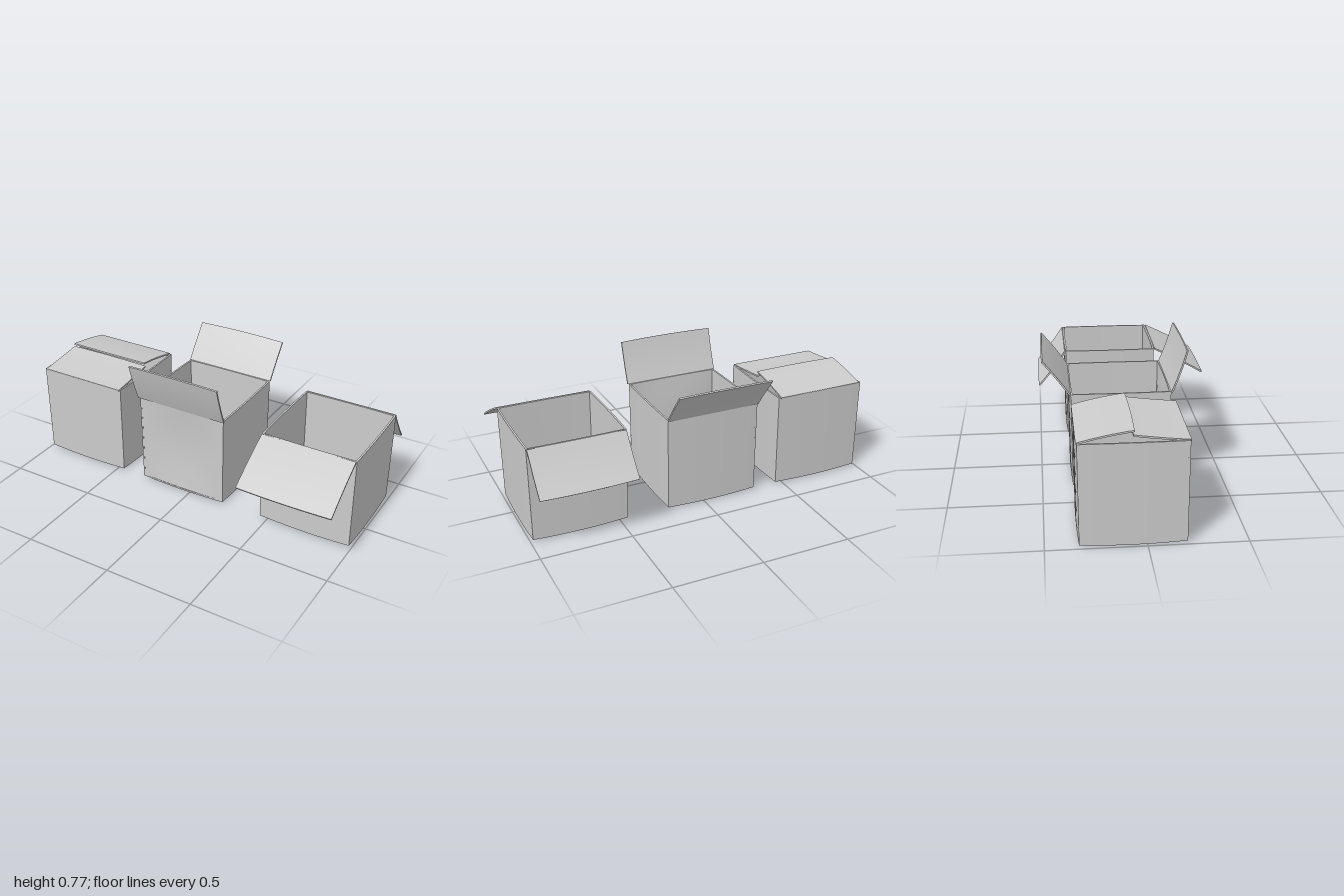
import * as THREE from 'three';

const H = 0.54, HALF = 0.268, T = 0.01, ZC = -0.068;
const material = new THREE.MeshStandardMaterial({ color: 0xcccccc, side: THREE.DoubleSide });

// Move every vertex of a geometry by a rule
function warp(geometry, rule) {
  const p = geometry.attributes.position, v = new THREE.Vector3();
  for (let i = 0; i < p.count; i++) {
    rule(v.fromBufferAttribute(p, i));
    p.setXYZ(i, v.x, v.y, v.z);
  }
  geometry.computeVertexNormals();
  return geometry;
}

// Soft cardboard: sagging base, slightly swollen sides, narrower foot
function soften(v) {
  const u = 1 - Math.min(1, (v.x / HALF) ** 2), w = 1 - Math.min(1, (v.z / HALF) ** 2);
  const low = 1 - v.y / H, taper = 1 - 0.012 * low;
  const x = v.x * taper + Math.sign(v.x) * 0.005 * w * Math.abs(v.x / HALF);
  const z = v.z * taper + Math.sign(v.z) * 0.005 * u * Math.abs(v.z / HALF);
  v.set(x, v.y - 0.006 * (u + w) * low, z);
}

function addPart(parent, name, geometry) {
  const mesh = new THREE.Mesh(geometry, material);
  mesh.name = name;
  parent.add(mesh);
  return mesh;
}

// Flap from the hinge on one rim (side +1 front, -1 back) to its free edge
function addFlap(parent, name, side, { z, y, shift = 0, bow = 0.005, width = 0.53 }) {
  const hingeZ = side * (HALF + 0.004);
  const dz = z - ZC - hingeZ, dy = y - H, length = Math.hypot(dz, dy);
  const geometry = new THREE.BoxGeometry(width, 0.009, length, 8, 1, 8);
  warp(geometry.translate(0, 0, length / 2), v => {
    const t = v.z / length;
    v.x += shift * t;
    v.y += bow * 4 * t * (1 - t);
    v.z += 0.005 * t * (1 - (2 * v.x / width) ** 2);
  });
  const flap = addPart(parent, name, geometry);
  flap.position.set(0, H - 0.002, hingeZ);
  flap.rotation.x = -Math.atan2(dy, dz);
}

function makeBox(name, x, front, back, dent = 0) {
  const box = new THREE.Group();
  box.name = name;
  box.position.set(x, 0, ZC);

  // Base and four walls
  const base = new THREE.BoxGeometry(2 * HALF, T, 2 * HALF, 10, 1, 10).translate(0, 0.012 + T / 2, 0);
  addPart(box, 'base', warp(base, soften));
  const wallHeight = H - 0.012;
  ['frontWall', 'leftWall', 'backWall', 'rightWall'].forEach((wallName, i) => {
    const wall = new THREE.BoxGeometry(2 * HALF, wallHeight, T, 10, 10, 1);
    wall.translate(0, 0.012 + wallHeight / 2, HALF - T / 2);
    if (i === 0 && dent) warp(wall, v => {
      v.z -= dent * (1 - (v.x / HALF) ** 2) * Math.sin(Math.PI * v.y / H);
    });
    wall.rotateY(i * Math.PI / 2);
    addPart(box, wallName, warp(wall, soften));
  });

  addFlap(box, 'frontFlap', 1, front);
  addFlap(box, 'backFlap', -1, back);
  return box;
}

export function createModel() {
  const model = new THREE.Group();
  model.name = 'cardboardBoxes';
  model.add(
    // Nearly closed, flaps folded inward
    makeBox('closedBox', -0.721,
      { z: -0.07, y: 0.573, bow: 0.002, width: 0.52 },
      { z: -0.064, y: 0.594, bow: 0.005, width: 0.51 }),
    // Flaps standing up
    makeBox('openBox', -0.048,
      { z: 0.283, y: 0.768, bow: -0.004, width: 0.55 },
      { z: -0.482, y: 0.728, bow: -0.003, width: 0.54 }, 0.018),
    // Flaps hanging outward
    makeBox('spreadBox', 0.721,
      { z: 0.5, y: 0.38, shift: 0.01 },
      { z: -0.5, y: 0.33, shift: -0.004 }));
  return model;
}
